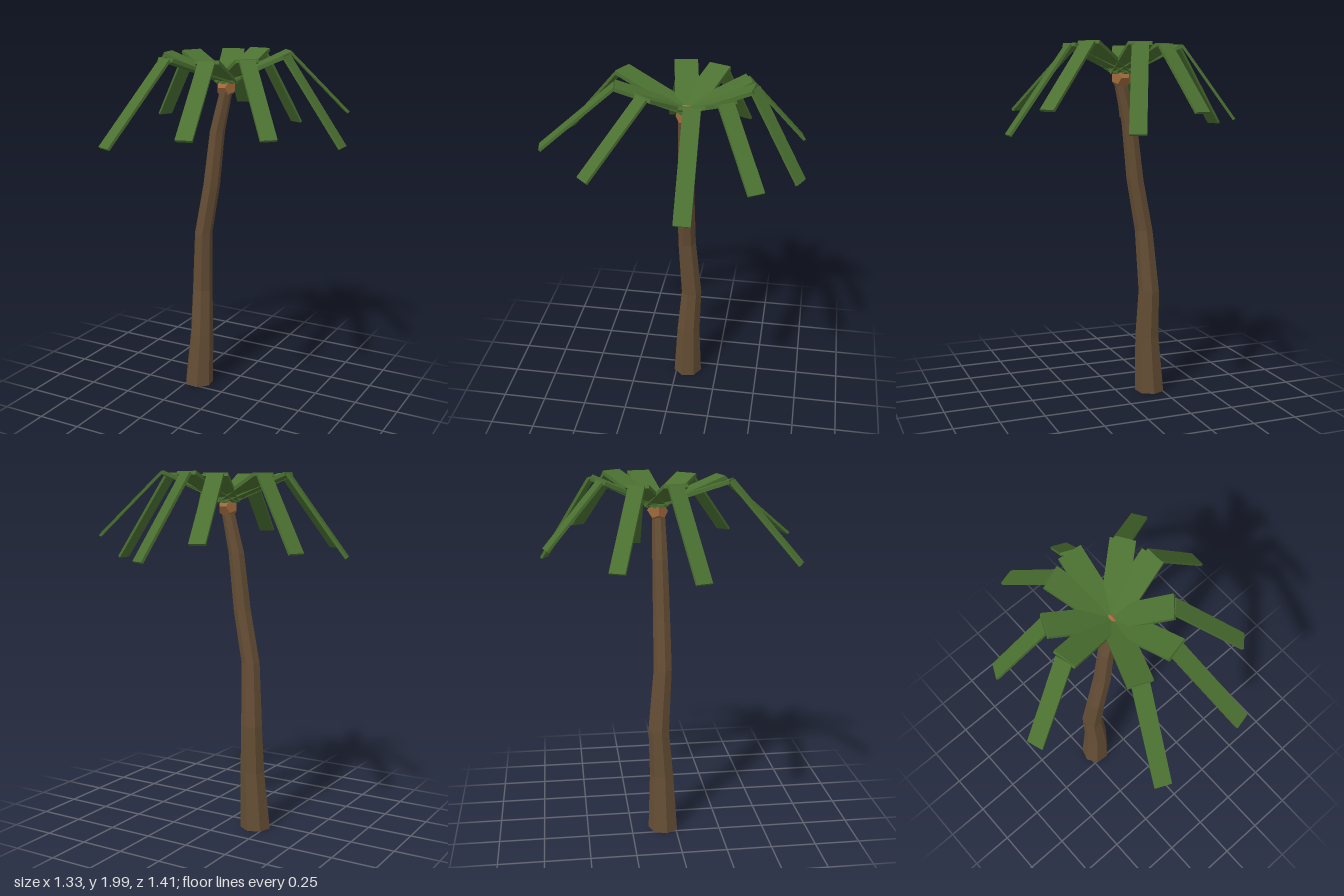
import * as THREE from 'three';

const green = new THREE.MeshStandardMaterial({ color: 0x4b7131 });
green.name = 'leaf green';
const brown = new THREE.MeshStandardMaterial({ color: 0x654e35 });
brown.name = 'bark brown';
const tan = new THREE.MeshStandardMaterial({ color: 0xa0693c });
tan.name = 'crown tan';

// Trunk rings from base to top: [x, y, z, radius]
const RINGS = [
  [-0.19, 0, -0.067, 0.086],
  [-0.172, 0.33, -0.072, 0.069],
  [-0.175, 0.6, -0.088, 0.06],
  [-0.152, 0.95, -0.062, 0.052],
  [-0.098, 1.24, -0.062, 0.049],
  [-0.062, 1.55, -0.065, 0.044],
  [-0.005, 1.79, -0.066, 0.036],
];

// Fronds: [bend x, y, z, tip x, y, z]
const FRONDS = [
  [0.315, 1.975, -0.147, 0.65, 1.51, -0.15],
  [0.262, 1.985, -0.305, 0.54, 1.65, -0.49],
  [0.025, 1.98, -0.425, 0.145, 1.535, -0.69],
  [-0.128, 1.972, -0.387, -0.205, 1.635, -0.68],
  [-0.31, 1.972, -0.212, -0.565, 1.58, -0.335],
  [-0.35, 1.975, -0.02, -0.655, 1.538, 0.08],
  [-0.168, 1.975, 0.3, -0.325, 1.553, 0.65],
  [0.07, 1.972, 0.287, 0.16, 1.64, 0.68],
  [0.212, 1.97, 0.117, 0.465, 1.618, 0.378],
];

// Faceted trunk: a seven-sided cylinder bent and tapered through the rings
function makeTrunk() {
  const n = RINGS.length - 1;
  const geo = new THREE.CylinderGeometry(1, 1, 1, 7, n, false, 0.36).toNonIndexed();
  const p = geo.attributes.position;
  for (let i = 0; i < p.count; i++) {
    const [x, y, z, r] = RINGS[Math.round((p.getY(i) + 0.5) * n)];
    p.setXYZ(i, x + p.getX(i) * r, y, z + p.getZ(i) * r);
  }
  geo.computeVertexNormals();
  const mesh = new THREE.Mesh(geo, brown);
  mesh.name = 'trunk';
  return mesh;
}

// Flat slab running from a to b, its width kept level
function slab(name, a, b, width, thickness) {
  const geo = new THREE.BoxGeometry(width, thickness, a.distanceTo(b));
  const dir = b.clone().sub(a).normalize();
  const side = new THREE.Vector3(0, 1, 0).cross(dir).normalize();
  const up = dir.clone().cross(side);
  geo.applyMatrix4(new THREE.Matrix4().makeBasis(side, up, dir));
  const mesh = new THREE.Mesh(geo, green);
  mesh.position.copy(a).lerp(b, 0.5);
  mesh.name = name;
  return mesh;
}

export function createModel() {
  const model = new THREE.Group();
  model.name = 'palmTree';
  model.add(makeTrunk());

  // Crown knob at the top of the trunk
  const crown = new THREE.Mesh(new THREE.DodecahedronGeometry(0.058), tan);
  crown.name = 'crownKnob';
  crown.position.set(-0.01, 1.802, -0.073);
  crown.rotation.y = Math.PI / 2;
  model.add(crown);

  // Each frond rises from the crown, then bends and droops
  const root = new THREE.Vector3(-0.01, 1.832, -0.08);
  for (const [hx, hy, hz, tx, ty, tz] of FRONDS) {
    const bend = new THREE.Vector3(hx, hy, hz);
    const tip = new THREE.Vector3(tx, ty, tz);
    const frond = new THREE.Group();
    frond.name = 'frond';
    frond.add(slab('innerFrond', root, bend, 0.128, 0.02));
    frond.add(slab('outerFrond', bend, tip, 0.088, 0.015));
    model.add(frond);
  }
  return model;
}
